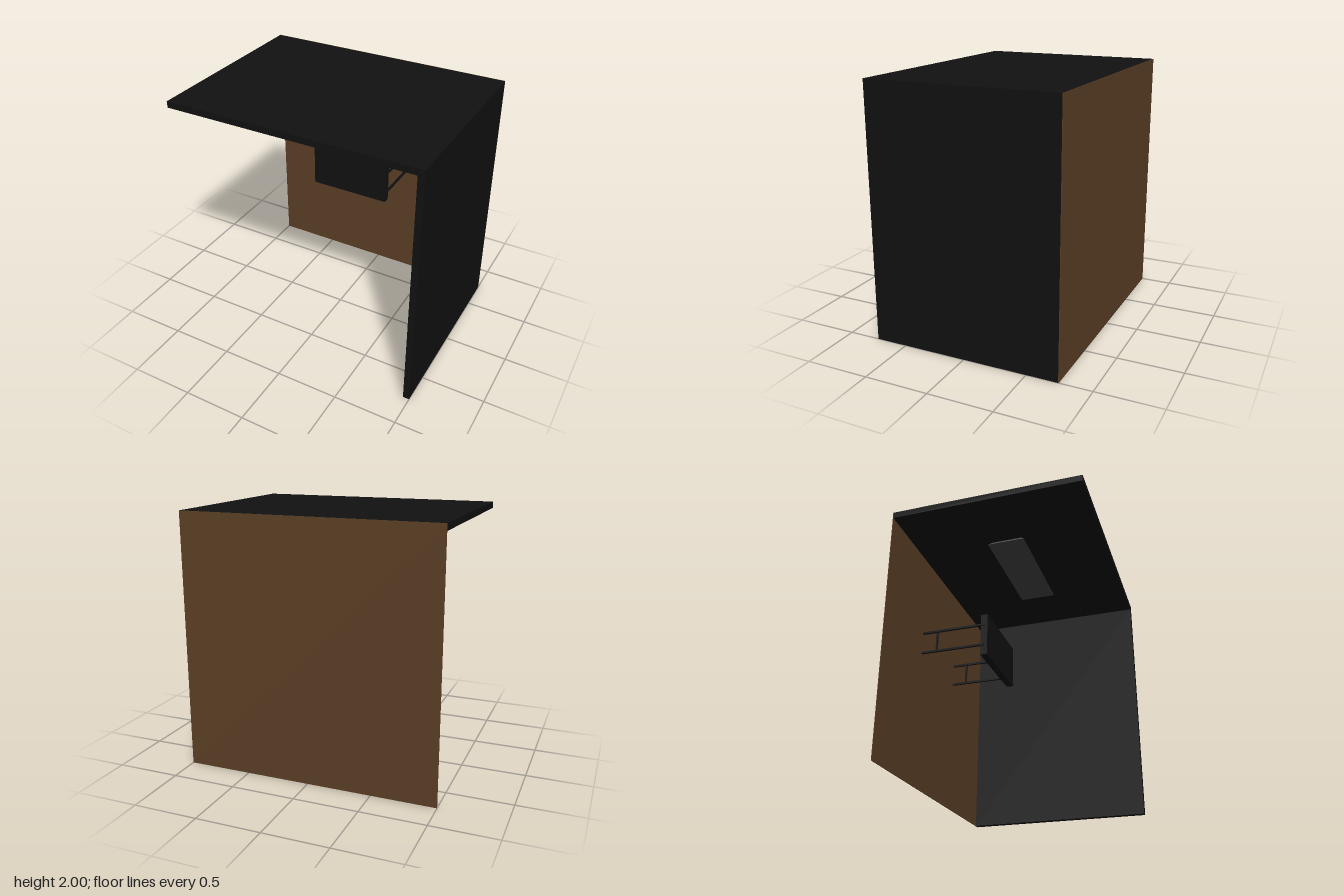
import * as THREE from 'three';

const mat = (color) => new THREE.MeshStandardMaterial({ color, flatShading: true });

export function createModel() {
  const group = new THREE.Group();
  const black = mat(0x111111), brown = mat(0x5c4026), grey = mat(0x4a4a4a);

  // Box given by its lower and upper corners
  const box = (name, lo, hi, material) => {
    const size = hi.map((v, i) => v - lo[i]);
    const mesh = new THREE.Mesh(new THREE.BoxGeometry(...size), material);
    mesh.position.set(...lo.map((v, i) => v + size[i] / 2));
    mesh.name = name;
    group.add(mesh);
    return mesh;
  };

  // Room shell: ceiling, one side wall and a thin back wall
  box('ceiling', [-1, 1.95, -0.745], [1, 2, 0.75], black);
  box('sideWall', [0.95, 0, -0.745], [1, 1.95, 0.75], black);
  box('backWall', [-1, 0, -0.75], [1, 2, -0.745], brown);

  // Hanging screen, centred between the open side and the wall
  const cx = -0.025;
  box('screen', [cx - 0.325, 1.01, -0.25], [cx + 0.325, 1.36, -0.195], black);

  // Bracket arms from the back wall to the screen, with an upright on each side
  for (const s of [-1, 1]) {
    const x = cx + s * 0.325;
    for (const y of [1.095, 1.27]) {
      box('screenArm', [x - 0.008, y - 0.008, -0.745], [x + 0.008, y + 0.008, -0.22], black);
    }
    const px = cx + s * 0.318;
    box('armUpright', [px - 0.006, 1.09, -0.63], [px + 0.006, 1.27, -0.615], black);
  }

  // Ceiling lamp: a shallow shade tapering upward, hung on two short pegs
  const shade = box('lampShade', [-0.5, 1.91, -0.15], [0.42, 1.943, 0.15], grey);
  const p = shade.geometry.attributes.position;
  for (let i = 0; i < p.count; i++) {
    if (p.getY(i) > 0) p.setXYZ(i, p.getX(i) * 0.935, p.getY(i), p.getZ(i) * 0.8);
  }
  shade.geometry.computeVertexNormals();
  for (const x of [-0.29, 0.21]) {
    box('lampPeg', [x - 0.005, 1.94, -0.005], [x + 0.005, 1.952, 0.005], black);
  }

  return group;
}
